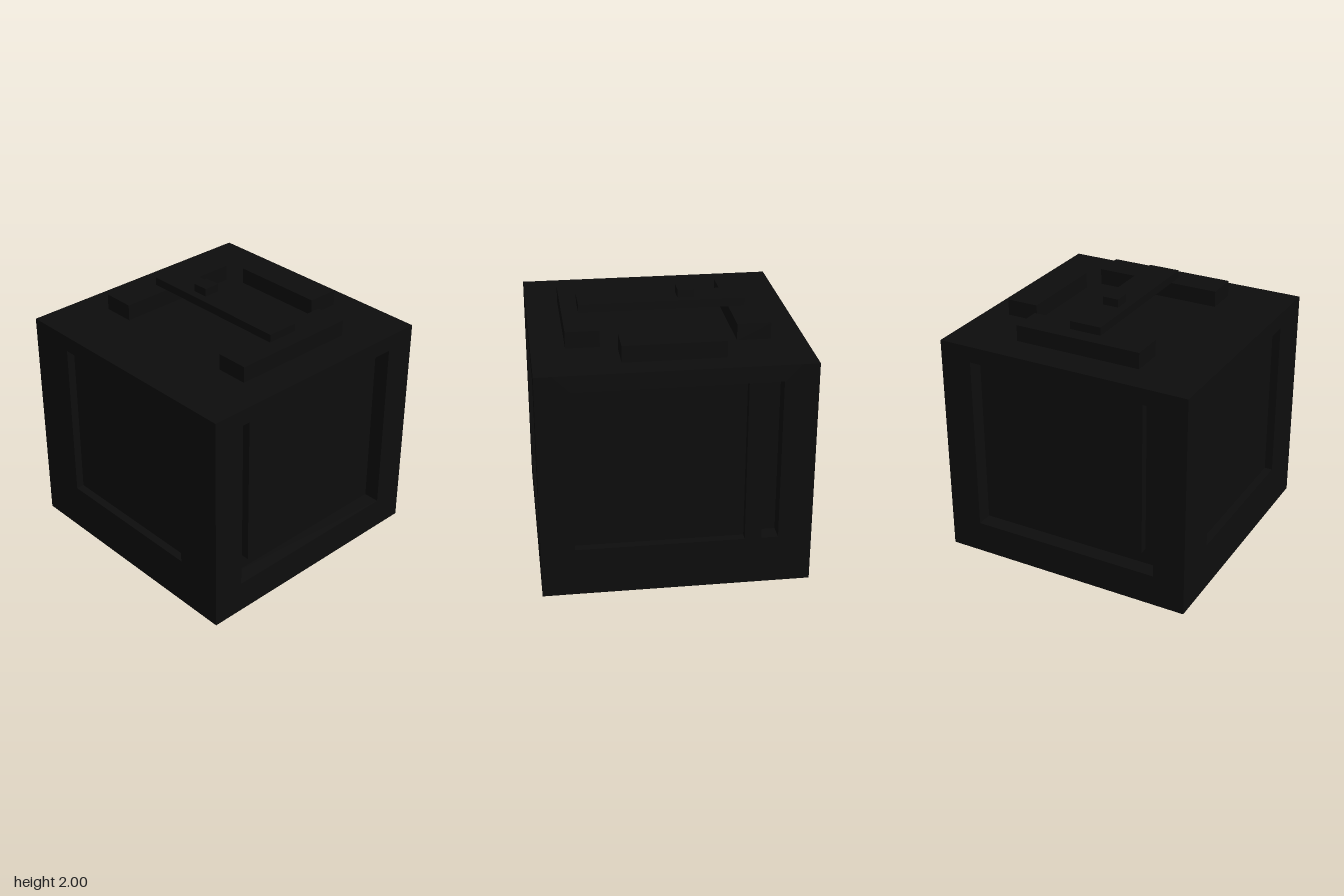
import * as THREE from 'three';

const black = new THREE.MeshStandardMaterial({ color: 0x0d0d0d });
black.name = 'black';

// Box given by its minimum and maximum corners
function box(name, [x0, y0, z0], [x1, y1, z1]) {
  const geometry = new THREE.BoxGeometry(x1 - x0, y1 - y0, z1 - z0);
  const mesh = new THREE.Mesh(geometry, black);
  mesh.name = name;
  mesh.position.set((x0 + x1) / 2, (y0 + y1) / 2, (z0 + z1) / 2);
  return mesh;
}

// Wall plate with rectangular openings, each [x0, y0, x1, y1]
function wall(name, halfWidth, depth, openings) {
  const trace = (path, x0, y0, x1, y1) =>
    path.moveTo(x0, y0).lineTo(x1, y0).lineTo(x1, y1).lineTo(x0, y1).closePath();
  const shape = new THREE.Shape();
  trace(shape, -halfWidth, 0, halfWidth, 1.75);
  for (const opening of openings) {
    const hole = new THREE.Path();
    trace(hole, ...opening);
    shape.holes.push(hole);
  }
  const geometry = new THREE.ExtrudeGeometry(shape, { depth, bevelEnabled: false });
  const mesh = new THREE.Mesh(geometry, black);
  mesh.name = name;
  mesh.position.z = 1 - depth;
  return mesh;
}

// Turns a front-facing set of parts to another side of the cube
function side(name, angle, ...parts) {
  const group = new THREE.Group();
  group.name = name;
  group.rotation.y = angle;
  group.add(...parts);
  return group;
}

export function createModel() {
  const model = new THREE.Group();
  model.name = 'blockCase';

  // Solid core behind the recessed walls
  model.add(box('core', [-0.875, 0, -0.875], [0.875, 1.75, 0.9375]));

  // Front: one shallow square recess
  model.add(side('front', 0,
    wall('frontWall', 0.875, 0.0625, [[-0.625, 0.375, 0.625, 1.625]])));

  // Back: wide shallow recess and a deep narrow slot
  model.add(side('back', Math.PI,
    wall('backWall', 0.875, 0.125, [
      [-0.75, 0.375, 0.5, 1.625],
      [0.625, 0.375, 0.75, 1.625],
    ]),
    box('backPanel', [-0.75, 0.375, 0.875], [0.5, 1.625, 0.9375])));

  // Left and right: deep recess with a raised panel hanging from its top
  for (const [name, sign] of [['left', 1], ['right', -1]]) {
    model.add(side(name, sign * Math.PI / 2,
      wall(name + 'Wall', 1, 0.125, [[-0.75, 0.25, 0.75, 1.625]]),
      box(name + 'Panel', [-0.625, 0.375, 0.875], [0.625, 1.625, 0.9375])));
  }

  // Top rails, crossbar, knob and rear block
  for (const x of [-0.625, 0.625]) {
    model.add(box('topRail', [x - 0.125, 1.75, -0.5], [x + 0.125, 1.875, 0.5]));
  }
  model.add(
    box('crossbar', [-0.625, 1.875, -0.125], [0.625, 1.9375, 0.125]),
    box('knob', [-0.25, 1.9375, -0.0625], [-0.125, 2, 0.0625]),
    box('rearBlock', [-0.375, 1.75, -0.8125], [0.375, 1.875, -0.5625]),
  );
  return model;
}
